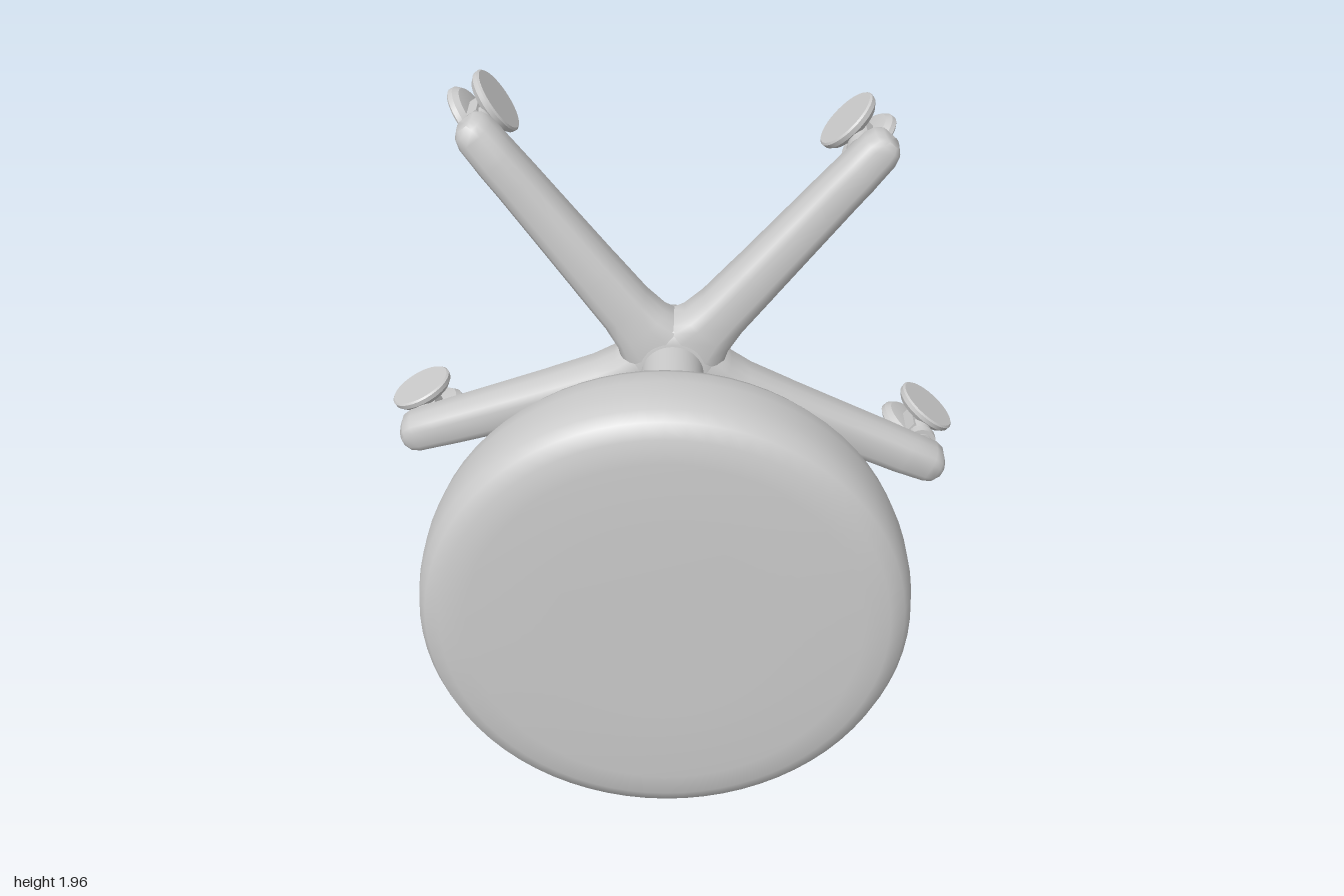
import * as THREE from 'three';
import { toCreasedNormals } from 'three/addons/utils/BufferGeometryUtils.js';

const material = new THREE.MeshStandardMaterial({ color: 0xcccccc });
const CY = 1.07; // height of the column axis, which runs along z

function part(name, geometry, parent, crease = 0.6) {
  const mesh = new THREE.Mesh(toCreasedNormals(geometry, crease), material);
  mesh.name = name;
  parent.add(mesh);
  return mesh;
}

// Solid turned about z; profile is [radius, z] from back to front
function turned(profile, segments = 48) {
  const g = new THREE.LatheGeometry(profile.map(([r, z]) => new THREE.Vector2(r, z)), segments);
  return g.rotateX(Math.PI / 2);
}

// Cylinder between two points
function rod(a, b, r0, r1) {
  const from = new THREE.Vector3(...a), to = new THREE.Vector3(...b);
  const dir = to.clone().sub(from);
  const g = new THREE.CylinderGeometry(r1, r0, dir.length(), 20);
  g.applyQuaternion(new THREE.Quaternion().setFromUnitVectors(new THREE.Vector3(0, 1, 0), dir.normalize()));
  const mid = from.add(to).multiplyScalar(0.5);
  return g.translate(mid.x, mid.y, mid.z);
}

// Base arm lofted outwards from the hub, with a slot in its back
function armGeometry(angle, L) {
  // distance, half width, front z, back z, slot depth
  const stations = [
    [0.03, 0.13, -0.43, -0.58, 0], [0.11, 0.13, -0.432, -0.58, 0], [0.17, 0.102, -0.438, -0.582, 0],
    [0.25, 0.09, -0.446, -0.585, 0], [0.4, 0.085, -0.459, -0.595, 0], [0.42, 0.084, -0.461, -0.596, 0.07],
    [0.6, 0.079, -0.48, -0.61, 0.07], [0.8, 0.074, -0.502, -0.625, 0.065],
    [L - 0.15, 0.072, -0.507, -0.628, 0.06], [L - 0.13, 0.071, -0.51, -0.63, 0],
    [L - 0.05, 0.068, -0.52, -0.637, 0], [L - 0.018, 0.056, -0.526, -0.638, 0], [L, 0.034, -0.54, -0.632, 0],
  ];
  const c = Math.cos(angle), s = Math.sin(angle), pos = [], index = [];
  const put = (r, side, z) => pos.push(r * c - side * s, r * s + side * c, z);
  let n = 0;
  for (const [r, w, f, b, g] of stations) {
    const half = [[w, b + 0.015], [w * 0.98, (f + b) / 2], [w * 0.9, f - 0.032], [w * 0.72, f - 0.01], [w * 0.4, f]];
    const under = [[0.85 * w, b], [0.6 * w, b], [0.55 * w, b + g]];
    const mirror = (list) => list.map(([x, z]) => [-x, z]);
    const ring = [...half, ...mirror(half).reverse(), ...mirror(under), ...[...under].reverse()];
    n = ring.length;
    ring.forEach(([side, z]) => put(r, side, z));
  }
  for (let i = 0; i < stations.length - 1; i++) {
    for (let j = 0; j < n; j++) {
      const a = i * n + j, b = i * n + (j + 1) % n;
      index.push(a, b, b + n, a, b + n, a + n);
    }
  }
  const last = (stations.length - 1) * n;
  put(L, 0, -0.586);
  for (let j = 0; j < n; j++) index.push(stations.length * n, last + j, last + (j + 1) % n);
  const geo = new THREE.BufferGeometry();
  geo.setAttribute('position', new THREE.Float32BufferAttribute(pos, 3));
  geo.setIndex(index);
  return geo;
}

// Twin-wheel caster; local x is the rolling direction, y the axle
function caster(x, y, angle) {
  const group = new THREE.Group();
  group.name = 'caster';
  group.position.set(x, y, -0.793);
  group.rotation.z = angle;
  for (const side of [-1, 1]) {
    const profile = [[0, 0.022], [0.06, 0.02], [0.095, 0.026], [0.11, 0.042], [0.112, 0.058], [0.106, 0.064], [0, 0.064]];
    const wheel = new THREE.LatheGeometry(profile.map(([r, h]) => new THREE.Vector2(r, h)), 36);
    if (side < 0) wheel.rotateX(Math.PI);
    part('casterWheel', wheel, group);
  }
  part('casterAxle', rod([0, -0.04, 0], [0, 0.04, 0], 0.025, 0.025), group);
  const body = new THREE.BoxGeometry(0.09, 0.04, 0.12).translate(0, 0, 0.06);
  part('casterBody', body, group);
  part('casterStem', rod([0, 0, 0.085], [0, 0, 0.175], 0.042, 0.034), group);
  part('casterCollar', rod([0, 0, 0.145], [0, 0, 0.172], 0.05, 0.05), group);
  return group;
}

export function createModel() {
  const model = new THREE.Group();
  model.name = 'stool';
  const body = new THREE.Group();
  body.name = 'stoolBody';
  body.position.y = CY;
  model.add(body);

  // Cushioned round seat
  const seat = part('seat', turned([
    [0, 0.575], [0.35, 0.576], [0.53, 0.582], [0.6, 0.594], [0.635, 0.617], [0.655, 0.66], [0.664, 0.72],
    [0.665, 0.79], [0.658, 0.845], [0.64, 0.878], [0.6, 0.897], [0.53, 0.904], [0.3, 0.907], [0, 0.907],
  ], 72), body, 1.0);
  seat.position.x = -0.012;

  // Gas lift: collar, piston rod and outer column
  part('seatCollar', turned([[0, 0.412], [0.122, 0.412], [0.125, 0.42], [0.116, 0.53], [0.11, 0.59], [0, 0.59]]), body);
  part('pistonRod', turned([[0, 0.1], [0.038, 0.1], [0.038, 0.43], [0, 0.43]], 24), body);
  part('column', turned([[0, -0.46], [0.103, -0.46], [0.103, 0.122], [0.096, 0.132], [0, 0.132]]), body);

  // Height lever with a thicker grip
  part('leverShaft', rod([-0.09, 0, 0.54], [-0.42, 0, 0.428], 0.022, 0.018), body);
  part('leverGrip', rod([-0.41, 0, 0.431], [-0.57, 0, 0.374], 0.026, 0.024), body);

  // Hub at the centre of the base
  part('hub', turned([
    [0, -0.682], [0.122, -0.682], [0.128, -0.676], [0.168, -0.592], [0.176, -0.57],
    [0.17, -0.48], [0.15, -0.445], [0.11, -0.431], [0, -0.431],
  ]), body, 0.8);

  // Arm tips and their casters: tip x, y, then caster x, y and rolling angle in degrees
  const legs = [
    [-0.05, 0.055, -0.05, 0.12, -90],
    [0.94, 0.605, 0.873, 0.685, -37],
    [0.685, 1.835, 0.6, 1.775, 45],
    [-0.65, 1.885, -0.613, 1.845, 124],
    [-0.935, 0.73, -0.873, 0.75, 205],
  ];
  for (const [tx, ty, cx, cy, deg] of legs) {
    const dy = ty - CY;
    part('baseArm', armGeometry(Math.atan2(dy, tx), Math.hypot(tx, dy)), body, 0.9);
    body.add(caster(cx, cy - CY, THREE.MathUtils.degToRad(deg)));
  }
  return model;
}
